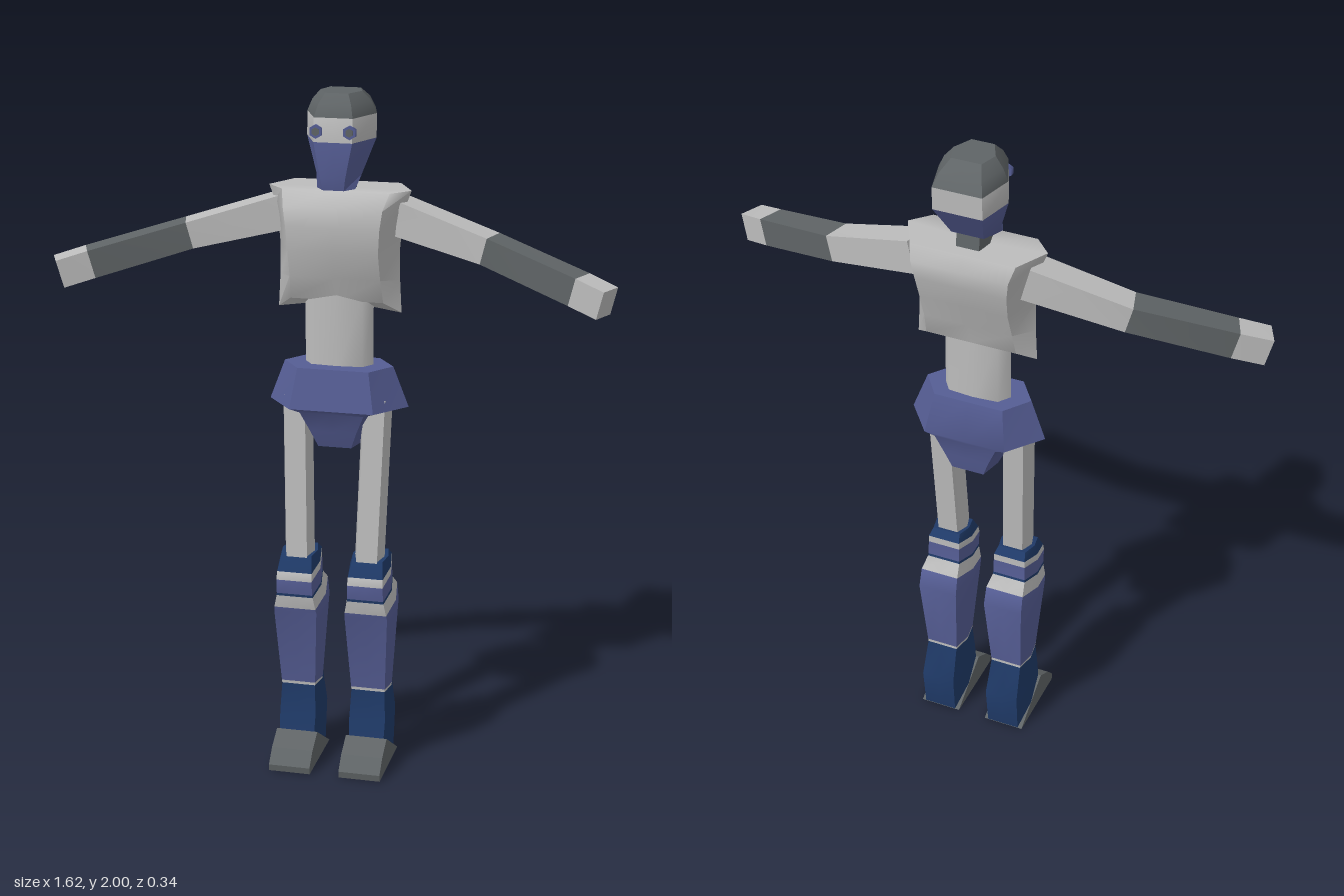
import * as THREE from 'three';
import { toCreasedNormals } from 'three/addons/utils/BufferGeometryUtils.js';

const mat = (name, color) => {
  const m = new THREE.MeshStandardMaterial({ color });
  m.name = name;
  return m;
};

// Skin a stack of closed rings (bottom to top), one material per band, capped at both ends
function loft(name, rings, mats, crease = 0.75) {
  const pos = [], geo = new THREE.BufferGeometry();
  const palette = [...new Set(mats)];
  const n = rings[0].length;
  const tri = (...pts) => pts.forEach(p => pos.push(p.x, p.y, p.z));
  const cap = (ring, top) => {
    const c = ring.reduce((s, p) => s.add(p), new THREE.Vector3()).divideScalar(n);
    ring.forEach((p, i) => {
      const q = ring[(i + 1) % n];
      top ? tri(c, p, q) : tri(c, q, p);
    });
  };
  const last = rings.length - 2;
  for (let r = 0; r <= last; r++) {
    const start = pos.length / 3, a = rings[r], b = rings[r + 1];
    if (r === 0) cap(a, false);
    for (let i = 0; i < n; i++) {
      const j = (i + 1) % n;
      tri(a[i], a[j], b[j]);
      tri(a[i], b[j], b[i]);
    }
    if (r === last) cap(b, true);
    geo.addGroup(start, pos.length / 3 - start, palette.indexOf(mats[r]));
  }
  geo.setAttribute('position', new THREE.Float32BufferAttribute(pos, 3));
  const mesh = new THREE.Mesh(toCreasedNormals(geo, crease), palette);
  mesh.name = name;
  return mesh;
}

// Eight-sided body section: half width, front and back z, corner ratios, lean along z, lift of all but the sides
function section(y, w, zf, zb, { cf = 0.75, cb = 0.75, tilt = 0, zc = 0, lift = 0, x = 0, zm = (zf + zb) / 2, bow = 0 } = {}) {
  return [
    [0, zf + bow], [cf * w, zf], [w, zm], [cb * w, zb],
    [0, zb - bow], [-cb * w, zb], [-w, zm], [-cf * w, zf],
  ].map(([px, z]) => new THREE.Vector3(x + px, y + tilt * (z - zc) + (Math.abs(px) === w ? 0 : lift), z));
}

// Square section across a limb running along d
function squareRing(c, d, h, w) {
  const u = new THREE.Vector3(0, 1, 0).addScaledVector(d, -d.y).normalize();
  const r = new THREE.Vector3().crossVectors(d, u);
  return [[1, -1], [1, 1], [-1, 1], [-1, -1]].map(([a, b]) =>
    c.clone().addScaledVector(u, a * h / 2).addScaledVector(r, b * w / 2));
}

export function createModel() {
  const white = mat('lightGrey', 0xbcbcbc);
  const grey = mat('darkGrey', 0x5f6466);
  const blue = mat('slateBlue', 0x555d94);
  const navy = mat('navy', 0x1f3a68);
  const model = new THREE.Group();
  model.name = 'figure';

  // Head: mask, face band and cap
  const skull = { cf: 0.55, cb: 0.72 };
  model.add(loft('head', [
    section(1.735, 0.055, 0.043, -0.03, skull),
    section(1.77, 0.065, 0.05, -0.105, skull),
    section(1.87, 0.1, 0.048, -0.17, skull),
    section(1.938, 0.1, 0.042, -0.172, skull),
    section(1.972, 0.085, 0.025, -0.15, skull),
    section(2.0, 0.06, 0, -0.11, skull),
  ], [blue, blue, white, grey, grey], 0.5));

  for (const s of [1, -1]) {
    // Eyes: dark rim with a pale centre
    [[0.02, 0.012, blue, 'eyeRim'], [0.012, 0.018, grey, 'eye']].forEach(([r, depth, m, name]) => {
      const eye = new THREE.Mesh(new THREE.CylinderGeometry(r, r, depth, 6), m);
      eye.name = name;
      eye.rotation.x = Math.PI / 2;
      eye.position.set(s * 0.048, 1.9, 0.046);
      model.add(eye);
    });
  }

  // Neck
  model.add(loft('neck', [
    section(1.69, 0.045, 0, -0.11),
    section(1.77, 0.045, -0.01, -0.1),
  ], [grey]));

  // Chest, with drooping lower corners
  const mid = { zm: -0.04 };
  model.add(loft('chest', [
    section(1.375, 0.18, 0, -0.085, { ...mid, lift: 0.035 }),
    section(1.47, 0.175, 0.025, -0.105, { ...mid, lift: 0.01 }),
    section(1.56, 0.174, 0.052, -0.135, mid),
    section(1.63, 0.18, 0.058, -0.155, mid),
    section(1.685, 0.19, 0.054, -0.163, mid),
    section(1.728, 0.206, 0.015, -0.14, mid),
  ], Array(5).fill(white), 1));

  // Abdomen
  model.add(loft('abdomen', [
    section(1.19, 0.1, 0, -0.07, { bow: 0.006 }),
    section(1.43, 0.1, 0, -0.07, { bow: 0.006 }),
  ], [white], 1.2));

  // Pelvis
  model.add(loft('pelvis', [
    section(0.98, 0.065, 0.025, -0.11),
    section(1.03, 0.09, 0.045, -0.12),
    section(1.09, 0.125, 0.065, -0.13),
    section(1.1, 0.205, 0.073, -0.135, { cf: 0.6, cb: 0.6 }),
    section(1.218, 0.16, 0.05, -0.105, { cf: 0.65, cb: 0.65 }),
  ], Array(4).fill(blue), 0.8));

  for (const s of [1, -1]) {
    const side = s > 0 ? 'left' : 'right';

    // Thigh
    model.add(loft(side + 'Thigh', [
      section(0.63, 0.044, 0.066, -0.02, { x: s * 0.104, cf: 0.7, cb: 0.7 }),
      section(1.13, 0.044, 0.03, -0.057, { x: s * 0.118, cf: 0.7, cb: 0.7 }),
    ], [white], 0.9));

    // Boot, shin and striped knee guard
    const x = s * 0.106;
    const flat = { x, cf: 0.85, cb: 0.8 };
    const lean = { ...flat, tilt: -0.25, zc: 0.02 };
    model.add(loft(side + 'LowerLeg', [
      section(0.05, 0.062, 0.066, -0.09, { ...flat, tilt: 0.58, zc: -0.01 }),
      section(0.14, 0.064, 0.056, -0.105, { ...flat, tilt: 0.1 }),
      section(0.236, 0.059, 0.045, -0.07, flat),
      section(0.245, 0.06, 0.046, -0.07, flat),
      section(0.48, 0.075, 0.08, -0.1, flat),
      section(0.51, 0.073, 0.085, -0.085, lean),
      section(0.548, 0.064, 0.087, -0.053, lean),
      section(0.556, 0.063, 0.088, -0.052, lean),
      section(0.602, 0.062, 0.095, -0.05, lean),
      section(0.624, 0.061, 0.088, -0.05, lean),
      section(0.658, 0.053, 0.062, -0.03, { ...flat, tilt: -0.1 }),
    ], [navy, navy, white, blue, blue, white, navy, blue, white, navy], 0.7));

    // Wedge foot: side profile extruded across x
    const profile = new THREE.Shape([
      [-0.088, 0], [0.16, 0], [0.163, 0.02], [0.125, 0.06], [0.066, 0.095],
    ].map(([z, y]) => new THREE.Vector2(-z, y)));
    const footGeo = new THREE.ExtrudeGeometry(profile, { depth: 0.124, bevelEnabled: false });
    footGeo.translate(0, 0, -0.062).rotateY(Math.PI / 2);
    const foot = new THREE.Mesh(footGeo, grey);
    foot.name = side + 'Foot';
    foot.position.x = x;
    model.add(foot);

    // Arm: upper arm, sleeve and blunt hand
    const P = [[0.16, 1.655, -0.06], [0.435, 1.582, -0.01], [0.7, 1.506, 0.093], [0.783, 1.481, 0.13]]
      .map(([px, y, z]) => new THREE.Vector3(s * px, y, z));
    const size = [[0.1, 0.09], [0.078, 0.084], [0.082, 0.078], [0.082, 0.074]];
    const rings = P.map((p, i) => {
      const d = P[Math.min(i + 1, 3)].clone().sub(P[Math.max(i - 1, 0)]).normalize();
      return squareRing(p, d, ...size[i]);
    });
    model.add(loft(side + 'Arm', rings, [white, grey, white], 0.4));
  }
  return model;
}
